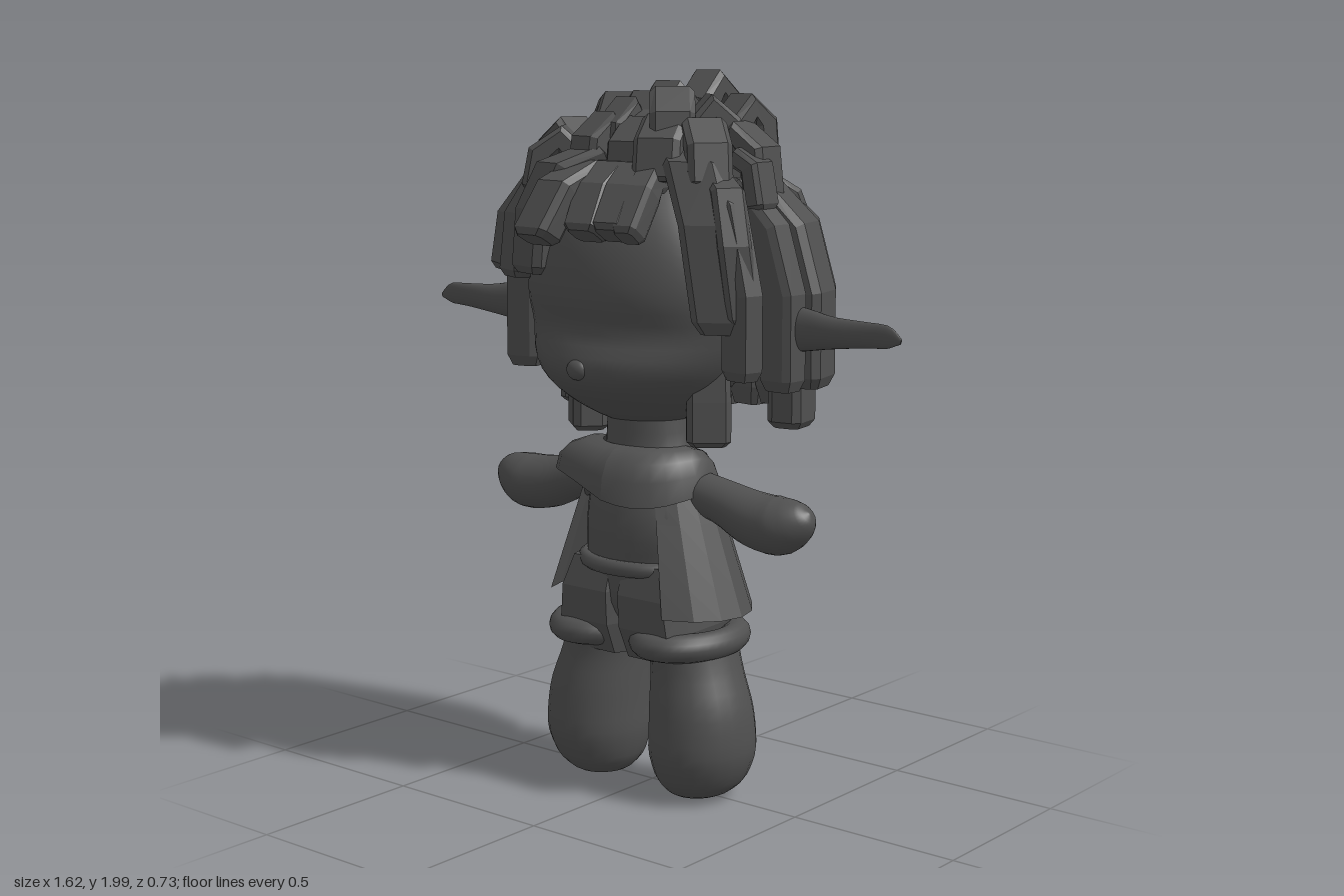
import * as THREE from 'three';

const charcoal = new THREE.MeshStandardMaterial({ color: 0x505050, side: THREE.DoubleSide });
charcoal.name = 'charcoal';

// Cross-sections: chamfered box for hair and cloth, circle for soft limbs
const BOX = [[1, -.6], [1, .6], [.75, 1], [-.75, 1], [-1, .6], [-1, -.6], [-.75, -1], [.75, -1]];
const ROUND = Array.from({ length: 24 }, (_, i) => [Math.cos(i * Math.PI / 12), Math.sin(i * Math.PI / 12)]);

// Skins rings [x, y, z, halfWidth, halfDepth] along a path; side is the width direction
function loft(rings, side, section, flat) {
  const n = section.length, pos = [], idx = [];
  const P = rings.map(r => new THREE.Vector3(r[0], r[1], r[2]));
  P.forEach((p, k) => {
    const t = P[Math.min(k + 1, P.length - 1)].clone().sub(P[Math.max(k - 1, 0)]).normalize();
    const nor = t.cross(side).normalize();
    for (const [u, v] of section) {
      const q = p.clone().addScaledVector(side, u * rings[k][3]).addScaledVector(nor, v * rings[k][4]);
      pos.push(q.x, q.y, q.z);
    }
  });
  const last = P.length - 1, c0 = P.length * n;
  pos.push(...P[0].toArray(), ...P[last].toArray());
  for (let i = 0; i < n; i++) {
    const j = (i + 1) % n;
    for (let k = 0; k < last; k++) {
      const a = k * n + i, b = k * n + j;
      idx.push(a, b, b + n, a, b + n, a + n);
    }
    idx.push(c0, j, i, c0 + 1, last * n + i, last * n + j);
  }
  let g = new THREE.BufferGeometry();
  g.setAttribute('position', new THREE.Float32BufferAttribute(pos, 3));
  g.setIndex(idx);
  if (flat) g = g.toNonIndexed();
  g.computeVertexNormals();
  return g;
}

// Smooth version of a short ring list
function smoothRings(rings, steps = 20) {
  const a = new THREE.CatmullRomCurve3(rings.map(r => new THREE.Vector3(r[0], r[1], r[2])));
  const b = new THREE.CatmullRomCurve3(rings.map(r => new THREE.Vector3(r[3], r[4], 0)));
  return Array.from({ length: steps + 1 }, (_, i) => {
    const p = a.getPoint(i / steps), s = b.getPoint(i / steps);
    return [p.x, p.y, p.z, s.x, s.y];
  });
}

export function createModel() {
  const model = new THREE.Group();
  const X = new THREE.Vector3(1, 0, 0), Z = new THREE.Vector3(0, 0, 1);
  const add = (name, geo, parent = model) => {
    const m = new THREE.Mesh(geo, charcoal);
    m.name = name;
    parent.add(m);
    return m;
  };
  const ball = (name, x, y, z, rx, ry, rz, parent) => {
    const m = add(name, new THREE.SphereGeometry(1, 40, 28), parent);
    m.position.set(x, y, z);
    m.scale.set(rx, ry, rz);
  };

  // Head with a soft muzzle bulge and a brow dip
  const head = new THREE.SphereGeometry(1, 48, 36), hp = head.attributes.position;
  for (let i = 0; i < hp.count; i++) {
    const x = hp.getX(i), y = hp.getY(i), z = hp.getZ(i), f = Math.max(z, 0);
    const muzzle = .06 * Math.exp(-(((y + .63) / .28) ** 2)) * f - .02 * Math.exp(-(((y + .25) / .15) ** 2)) * f;
    hp.setXYZ(i, -.025 + x * .36, 1.4 + y * .37, z * .27 + muzzle * 1.2);
  }
  head.computeVertexNormals();
  add('head', head);
  ball('nose', -.035, 1.21, .273, .034, .028, .022);

  // Neck and torso
  add('torso', loft(smoothRings([[0, .46, .01, .1, .1], [0, .56, .01, .18, .15], [0, .66, .01, .19, .155], [.01, .76, .01, .2, .16],
    [0, .88, 0, .18, .145], [-.01, .97, 0, .13, .11], [-.015, 1.1, 0, .12, .1]]), X, ROUND));

  // Shorts, belt, rolled cuffs, legs
  const belt = add('belt', new THREE.TorusGeometry(.185, .022, 10, 40));
  belt.rotation.x = Math.PI / 2;
  belt.scale.set(1, .87, 1);
  belt.position.set(-.005, .655, .012);
  for (const s of [-1, 1]) {
    add('shortsLeg', loft([[s * .09 - .005, .66, .012, .09, .135], [s * .1 - .005, .58, .015, .105, .158],
      [s * .106 - .005, .49, .012, .112, .155], [s * .1 - .005, .4, .01, .1, .12]], X, BOX, true));
    const cuff = add('cuff', new THREE.TorusGeometry(.115, .04, 14, 40));
    cuff.rotation.x = Math.PI / 2;
    cuff.scale.set(.97, 1.27, 1);
    cuff.position.set(s * .147 - .008, .45, .005);
    const leg = [[.17, .005, .01, .03, .03], [.175, .015, .01, .078, .085], [.183, .06, .01, .125, .13],
      [.188, .15, .01, .147, .157], [.183, .26, .01, .142, .15], [.163, .37, .005, .124, .135], [.145, .46, .005, .115, .135]];
    add('leg', loft(smoothRings(leg.map(r => [s * r[0], ...r.slice(1)])), X, ROUND));
  }

  for (const s of [-1, 1]) {
    // Mitten arms, the right one reaching a little further
    const dy = s < 0 ? .01 : 0, k = s < 0 ? 1.055 : .985;
    const arm = [[.12, .87, .06, .055], [.26, .84, .066, .062], [.36, .81, .08, .076], [.44, .803, .084, .08],
      [.495, .822, .066, .064], [.53, .842, .035, .036], [.54, .85, .005, .005]];
    add('arm', loft(smoothRings(arm.map(([x, y, w, h]) => [s * x * k, y + dy, -.005, w, h])), Z, ROUND));
    // Long pointed ears
    add('ear', loft(smoothRings([[s * .34, 1.33, -.01, .05, .07], [s * .5, 1.335, -.01, .035, .058], [s * .6, 1.335, 0, .025, .042],
      [s * .7, 1.338, 0, .016, .034], [s * .77, 1.338, 0, .01, .03], [s * .81, 1.33, 0, .003, .007]], 14), Z, ROUND));
  }

  // Cape hanging from the shoulders, open at the front, hem lifted behind the right leg
  const cape = new THREE.PlaneGeometry(1, 1, 14, 5), cp = cape.attributes.position;
  for (let i = 0; i < cp.count; i++) {
    const u = cp.getX(i) + .5, v = .5 - cp.getY(i), deg = -112 + u * 255;
    const a = THREE.MathUtils.degToRad(deg), lift = .05 * Math.exp(-(((deg + 40) / 25) ** 2));
    cp.setXYZ(i, -.01 + Math.sin(a) * (.17 + .15 * v), .95 - v * (.4 + .02 * Math.abs(Math.sin(a)) - lift),
      -Math.cos(a) * (.14 + .09 * v));
  }
  add('cape', cape.toNonIndexed()).geometry.computeVertexNormals();

  // Shawl around the neck, drooping to a point behind the right shoulder
  const shawl = new THREE.PlaneGeometry(1, 1, 28, 4), sp = shawl.attributes.position;
  for (let i = 0; i < sp.count; i++) {
    const a = (sp.getX(i) + .5) * Math.PI * 2, v = .5 - sp.getY(i);
    const right = Math.max(-Math.sin(a), 0), back = Math.max(-Math.cos(a), 0);
    const w = Math.sin(v * Math.PI / 2);
    sp.setXYZ(i, -.02 + Math.sin(a) * (.13 + w * (.09 + .08 * right)),
      .985 - .03 * back - v * v * (.14 - .05 * right + .06 * back + .015 * Math.sin(a * 3)),
      Math.cos(a) * (.11 + w * .09));
  }
  shawl.computeVertexNormals();
  add('shawl', shawl);

  // Hair base under the locks
  const hair = new THREE.Group();
  hair.name = 'hair';
  model.add(hair);
  const cap = add('hairCap', new THREE.SphereGeometry(1, 24, 12, 0, Math.PI * 2, 0, 1.75), hair);
  cap.position.set(-.01, 1.42, -.06);
  cap.scale.set(.42, .34, .26);
  ball('crownBase', -.02, 1.73, -.01, .27, .17, .14, hair);

  // One blocky lock: heading in degrees from the front, path, width and thickness
  const lock = (name, deg, pts, w, t) => {
    const a = THREE.MathUtils.degToRad(deg);
    const side = new THREE.Vector3(Math.cos(a), 0, -Math.sin(a));
    const V = pts.map(p => new THREE.Vector3(...p)), n = V.length - 1;
    const start = V[0].clone().lerp(V[1], .1), end = V[n].clone().lerp(V[n - 1], .12);
    const ring = (p, k) => [p.x, p.y, p.z, w / 2 * k, t / 2 * k];
    add(name, loft([ring(V[0], .65), ring(start, .9), ...V.slice(1, n).map(p => ring(p, 1)), ring(end, 1), ring(V[n], .75)],
      side, BOX, true), hair);
  };

  // Long curtain at the back
  for (let i = 0; i < 6; i++) {
    const x = -.32 + i * .105, e = x * x, low = 1.05 + (i % 3) * .012 + (x < -.2 ? .06 : 0);
    lock('backLock', 180 - x * 70, [[x * .75, 1.72 - e * .5, -.18], [x * .9, 1.68 - e * .5, -.23 + e * .4],
      [x, 1.49, -.32 + e * .6], [x * 1.02, low, -.32 + e * .6]], .116, .085);
  }
  // Shorter broad lock turned out at the back left
  lock('backLock', 142, [[.24, 1.7, -.17], [.28, 1.66, -.22], [.32, 1.5, -.27], [.325, 1.16, -.275]], .13, .08);

  // Side curtains, listed per side as [z, x, top, bottom, width]
  const sides = [
    [-1, [[.08, .38, 1.64, 1.17, .09], [-.01, .44, 1.66, 1.17, .1], [-.11, .43, 1.68, 1.16, .12], [-.2, .38, 1.66, 1.13, .13]]],
    [1, [[.095, .37, 1.74, 1.2, .075], [.01, .44, 1.68, 1.17, .085], [-.1, .45, 1.68, 1.17, .14], [-.19, .4, 1.68, 1.16, .1]]]];
  for (const [s, rows] of sides) for (const [z, x, top, bottom, w] of rows)
    lock('sideLock', s * (90 - z * 140), [[s * (x - .16), top + .02, z * .8], [s * (x - .04), top - .1, z],
      [s * (x + .01), 1.42, z], [s * (x + .01), bottom, z]], w, .1);

  // Short locks below the jaw line
  for (const [x, z, top, bottom, deg] of [[-.21, .03, 1.25, 1, -40], [-.31, -.06, 1.3, 1.06, -70], [.22, .03, 1.25, 1, 40],
    [.35, -.17, 1.35, 1.04, 100], [-.27, -.19, 1.3, 1.1, 215]])
    lock('napeLock', deg, [[x, top, z], [x, (top + bottom) / 2, z], [x, bottom, z]], .12, .1);

  // Fringe: swept centre locks, the right one jutting furthest
  for (const [x, tip, low, reach, w] of [[-.11, -.135, 1.555, .33, .13], [-.01, .005, 1.57, .285, .12], [.08, .09, 1.575, .28, .1], [.14, .14, 1.57, .275, .07]])
    lock('fringeLock', x * 60, [[x * .7, 1.72, .06], [x * .9, 1.72, .16], [x, 1.68, reach - .07], [tip, low, reach]], w, .085);

  // Locks swept to the right temple, each further back
  for (const [x, top, low, z, w] of [[-.24, 1.74, 1.45, .17, .14], [-.33, 1.72, 1.43, .13, .13], [-.415, 1.71, 1.44, .08, .12]])
    lock('templeLock', x * 70, [[x * .4, top + .02, z - .06], [x * .75, top - .02, z + .01], [x * .95, top - .12, z + .03],
      [x * 1.02, low, z + .03]], w, .1);
  // Broad locks at the left temple
  lock('templeLock', 30, [[.14, 1.77, .08], [.23, 1.74, .115], [.29, 1.6, .125], [.33, 1.32, .11]], .15, .1);
  lock('templeLock', 50, [[.25, 1.72, .06], [.33, 1.68, .1], [.36, 1.55, .11], [.38, 1.34, .09]], .09, .08);

  // Crown tuft: curled locks as [x, z, top, heading, reach, width]
  const curls = [
    [-.2, -.06, 1.92, 195, .1, .11], [-.05, -.09, 1.96, 183, .11, .11], [.08, -.1, 1.99, 180, .11, .11], [.22, -.06, 1.93, 165, .1, .12],
    [-.14, -.01, 1.93, 200, .09, .11], [-.03, .02, 1.935, 185, .09, .11], [.08, .02, 1.94, 170, .09, .11], [.17, .02, 1.93, 140, .09, .11],
    [-.25, 0, 1.86, 265, .11, .13], [-.21, .06, 1.84, 305, .12, .13], [-.1, .05, 1.88, 345, .08, .12], [.01, .05, 1.87, 5, .08, .11],
    [.1, .04, 1.95, 40, .08, .12], [-.06, .02, 1.92, 350, .06, .11],
    [.11, .06, 1.88, 20, .1, .13], [.2, .04, 1.87, 50, .1, .12], [.24, -.03, 1.86, 95, .11, .12], [-.26, -.08, 1.8, 240, .11, .12]];
  for (const [x, z, top, deg, r, w] of curls) {
    const a = THREE.MathUtils.degToRad(deg), dx = Math.sin(a) * r, dz = Math.cos(a) * r;
    lock('crownCurl', deg, [[x * .8, top - .2, z * .8], [x, top - .08, z], [x + dx * .4, top - .03, z + dz * .4],
      [x + dx * .85, top - .07, z + dz * .85], [x + dx, top - (dz > 0 ? .17 : .23), z + dz]], w, .075);
  }
  lock('stubLock', 90, [[.3, 1.78, .01], [.36, 1.75, .01], [.38, 1.64, .01]], .09, .06);

  return model;
}
